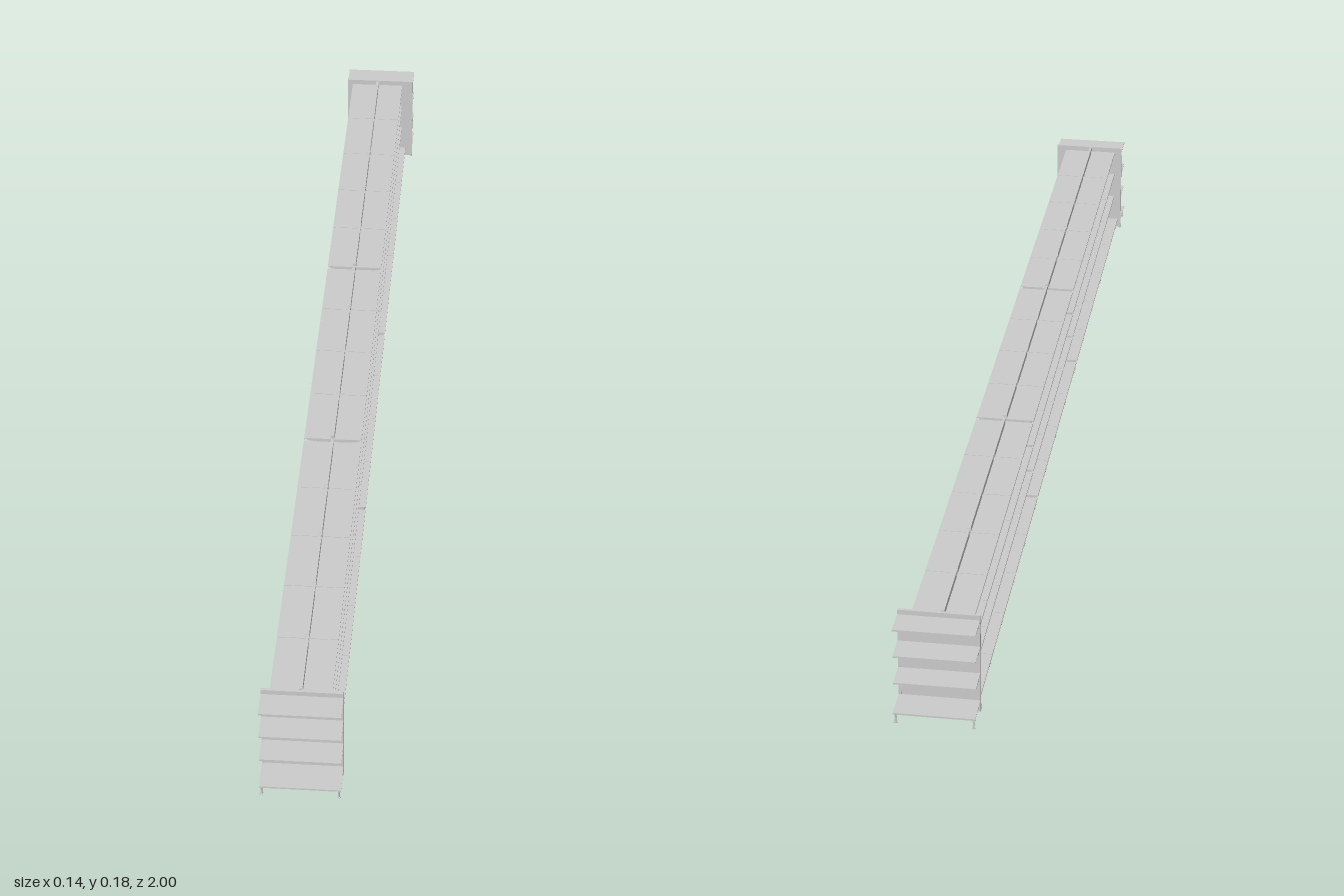
import * as THREE from 'three';

const mat = new THREE.MeshStandardMaterial({ color: 0xcccccc, flatShading: true, side: THREE.DoubleSide });
const H = 0.18;          // overall height
const BAY = 0.133;       // bay pitch
const BASE_Y = 0.021;    // top of base shelf
const SHELF_Y = [0.073, 0.123, 0.172];

function add(parent, name, geo, x, y, z) {
  const m = new THREE.Mesh(geo, mat);
  m.name = name;
  m.position.set(x, y, z);
  parent.add(m);
  return m;
}
const box = (parent, name, w, h, d, x, y, z) => add(parent, name, new THREE.BoxGeometry(w, h, d), x, y, z);

// Tapered cantilever arm: deep at the back, slim at the front, top edge at y = 0
function armGeometry(from, to, back, front) {
  const s = new THREE.Shape();
  s.moveTo(from, 0);
  s.lineTo(to, 0);
  s.lineTo(to, -front);
  s.lineTo(from + 0.008, -back * 0.8);
  s.lineTo(from + 0.005, -back);
  s.lineTo(from, -back);
  s.closePath();
  const g = new THREE.ExtrudeGeometry(s, { depth: 0.002, bevelEnabled: false });
  g.translate(0, 0, -0.001);
  g.rotateY(-Math.PI / 2); // profile runs towards +z
  return g;
}
const shelfArm = armGeometry(0.002, 0.047, 0.013, 0.004);
const baseArm = armGeometry(0.002, 0.057, 0.012, 0.007);
const footStem = new THREE.CylinderGeometry(0.0015, 0.0015, 0.013, 8);
const footPad = new THREE.CylinderGeometry(0.003, 0.003, 0.0015, 10);

// Shelves of one bay on one face, projecting towards +z
function bayFace(width) {
  const g = new THREE.Group();
  g.name = 'bayFace';
  const w = width - 0.001, armX = width / 2 - 0.004;
  for (const y of SHELF_Y) {
    box(g, 'shelf', w, 0.0015, 0.048, 0, y - 0.00075, 0.027);
    box(g, 'shelfFrontLip', w, 0.003, 0.001, 0, y - 0.0015, 0.0505);
    for (const s of [-1, 1]) add(g, 'shelfBracket', shelfArm, s * armX, y - 0.0015, 0);
  }
  box(g, 'baseShelf', w, 0.0015, 0.057, 0, BASE_Y - 0.00075, 0.0305);
  box(g, 'baseFrontLip', w, 0.003, 0.001, 0, BASE_Y - 0.0015, 0.0585);
  for (const s of [-1, 1]) {
    add(g, 'baseBracket', baseArm, s * armX, BASE_Y - 0.0015, 0);
    add(g, 'footStem', footStem, s * armX, 0.0075, 0.053);
    add(g, 'footPad', footPad, s * armX, 0.00075, 0.053);
  }
  return g;
}

// One bay: back panel, top rail, two uprights and shelves on one or both faces
function bay(width, faces) {
  const g = new THREE.Group();
  g.name = 'bay';
  box(g, 'backPanel', width - 0.001, H - 0.003, 0.003, 0, (H - 0.003) / 2 + 0.001, 0);
  box(g, 'topRail', width - 0.001, 0.004, 0.005, 0, H - 0.002, 0);
  for (const s of [-1, 1]) box(g, 'upright', 0.004, H, 0.006, s * (width / 2 - 0.0025), H / 2, 0);
  for (let i = 0; i < faces; i++) {
    const f = bayFace(width);
    f.rotation.y = i * Math.PI;
    g.add(f);
  }
  return g;
}

export function createModel() {
  const model = new THREE.Group();
  model.name = 'gondolaShelving';

  // Double-sided runs of 5, 4 and 5 bays with small gaps between them
  const gap = 0.007;
  let z = -(14 * BAY + 2 * gap) / 2 + 0.002;
  for (const count of [5, 4, 5]) {
    const run = new THREE.Group();
    run.name = 'shelvingRun';
    const pitch = BAY - 0.0003;
    for (let i = 0; i < count; i++) {
      const b = bay(pitch, 2);
      b.rotation.y = Math.PI / 2;
      b.position.set(-0.004, 0, z + pitch / 2);
      run.add(b);
      z += pitch;
    }
    z += gap;
    model.add(run);
  }

  // Single-sided end units, slightly offset sideways
  for (const s of [1, -1]) {
    const end = bay(0.135, 1);
    end.name = s > 0 ? 'frontEndUnit' : 'backEndUnit';
    end.rotation.y = s > 0 ? 0 : Math.PI;
    end.position.set(-0.0015 * s, 0, s * 0.941);
    model.add(end);
  }
  return model;
}
